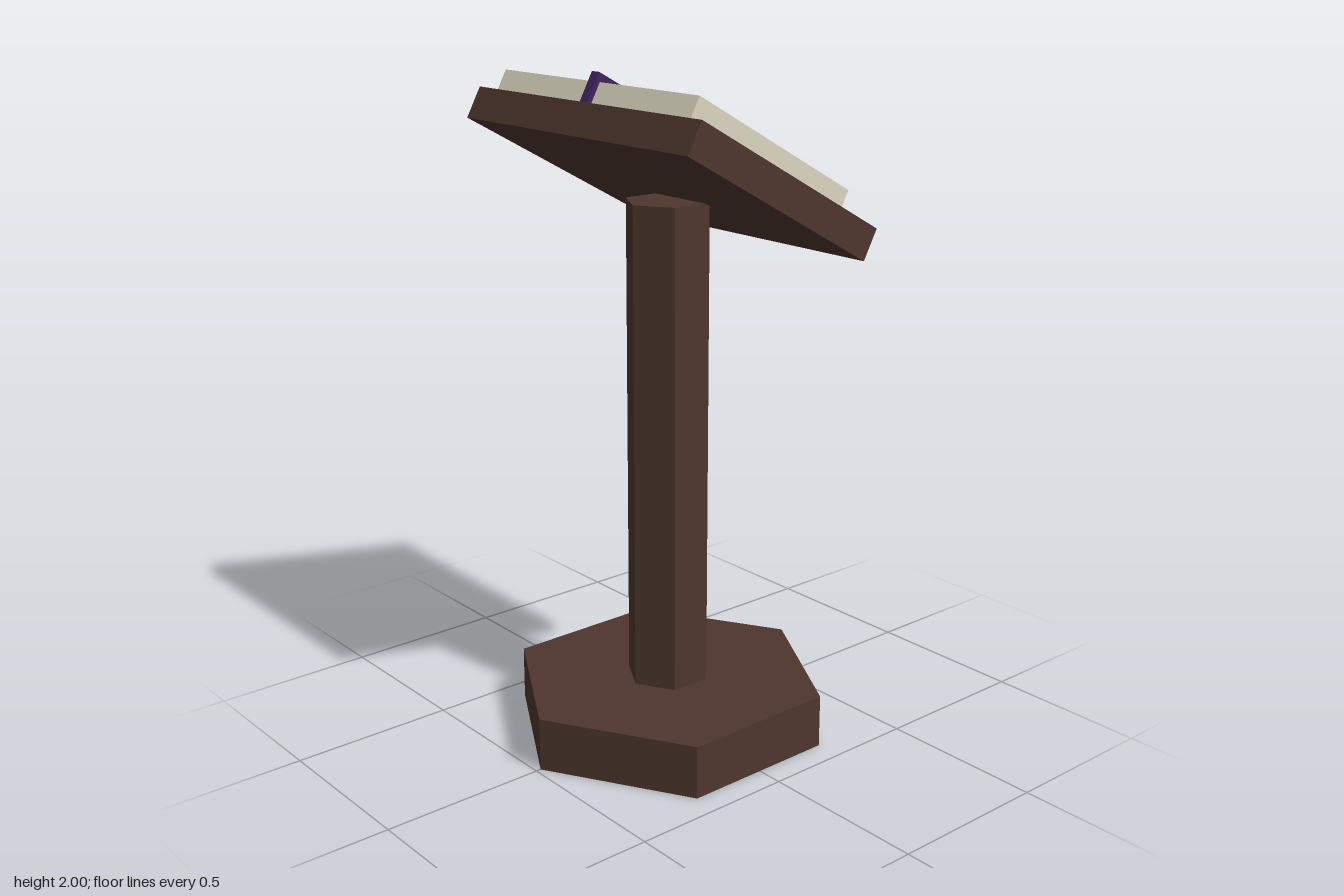
import * as THREE from 'three';

export function createModel() {
  const model = new THREE.Group();
  model.name = 'lectern';

  const material = (name, color) => {
    const m = new THREE.MeshStandardMaterial({ color });
    m.name = name;
    return m;
  };
  const wood = material('dark wood', 0x4e362e);
  const paper = material('paper', 0xdcd6c1);
  const ribbon = material('purple ribbon', 0x402460);

  // Hexagonal prism with corners pointing to the front and back
  const hexPrism = (name, radius, bottom, top) => {
    const geometry = new THREE.CylinderGeometry(radius, radius, top - bottom, 6).toNonIndexed();
    geometry.computeVertexNormals();
    const mesh = new THREE.Mesh(geometry, wood);
    mesh.name = name;
    mesh.position.y = (bottom + top) / 2;
    model.add(mesh);
  };
  hexPrism('base', 0.485, 0, 0.162);
  hexPrism('column', 0.126, 0.162, 1.625);

  // Sloping top, raised towards the front
  const desk = new THREE.Group();
  desk.name = 'slopingTop';
  desk.position.y = 1.705;
  desk.rotation.x = -0.5;
  model.add(desk);

  // Box given by its width and its extents across and along the slope
  const slab = (name, mat, width, y0, y1, z0, z1) => {
    const mesh = new THREE.Mesh(new THREE.BoxGeometry(width, y1 - y0, z1 - z0), mat);
    mesh.name = name;
    mesh.position.set(0, (y0 + y1) / 2, (z0 + z1) / 2);
    desk.add(mesh);
  };
  slab('board', wood, 0.97, -0.0485, 0.0485, -0.364, 0.364);
  slab('pages', paper, 0.842, 0.0485, 0.115, -0.271, 0.346);
  slab('bookmark', ribbon, 0.032, 0.0485, 0.138, -0.26, 0.36);

  return model;
}
